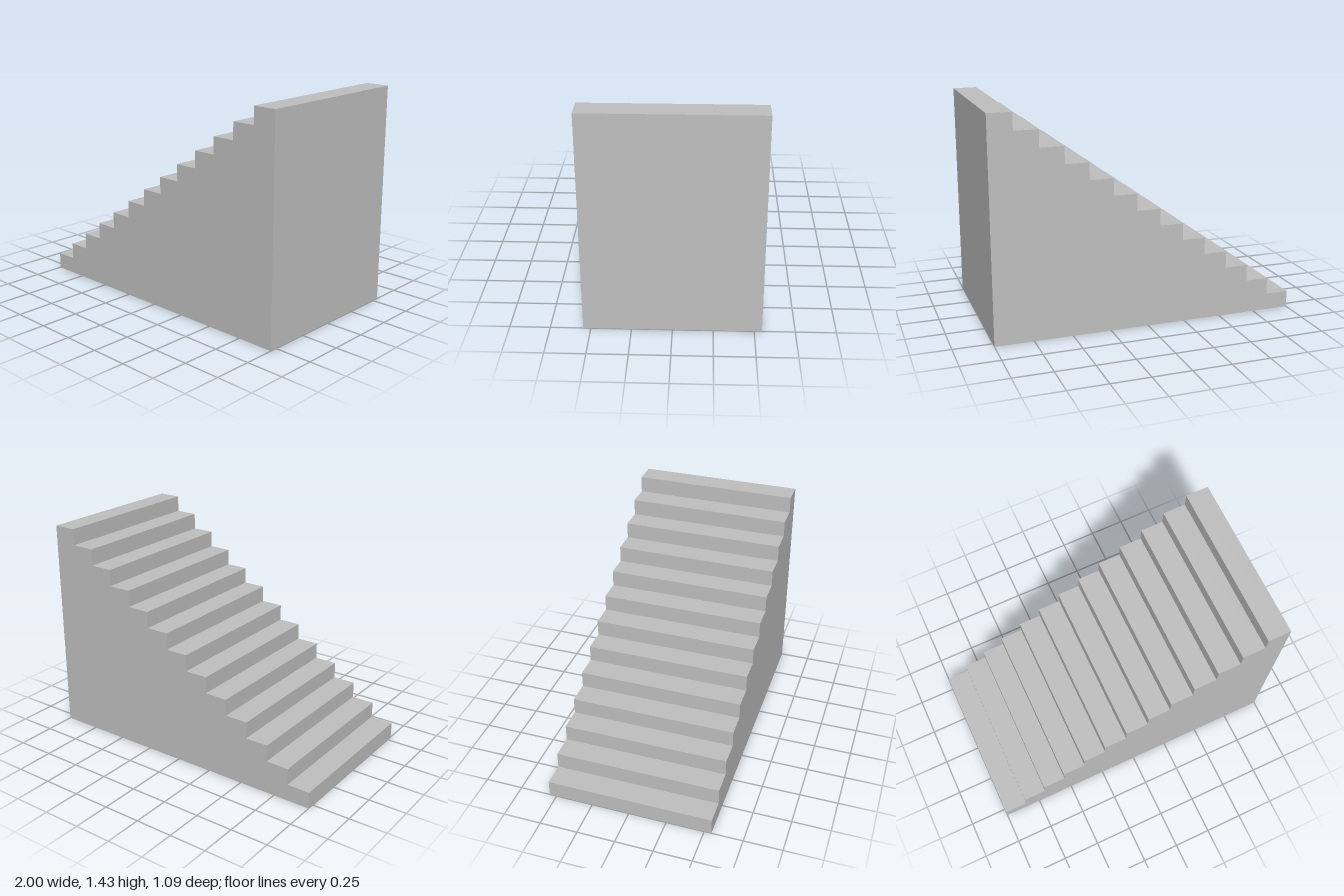
import * as THREE from 'three';

const STEPS = 13, LENGTH = 2, HEIGHT = 1.43, WIDTH = 1.094;

export function createModel() {
  const group = new THREE.Group();
  group.name = 'staircase';

  const lightGrey = new THREE.MeshStandardMaterial({ color: 0xc0c0c0 });
  lightGrey.name = 'light grey';

  // Stepped side profile, rising towards +x
  const run = LENGTH / STEPS, rise = HEIGHT / STEPS;
  const profile = new THREE.Shape();
  profile.moveTo(-LENGTH / 2, 0);
  profile.lineTo(LENGTH / 2, 0);
  profile.lineTo(LENGTH / 2, HEIGHT);
  for (let i = STEPS - 1; i >= 0; i--) {
    const x = -LENGTH / 2 + i * run;
    profile.lineTo(x, (i + 1) * rise);
    if (i > 0) profile.lineTo(x, i * rise);
  }
  profile.closePath();

  // Solid flight of steps across the full width
  const geometry = new THREE.ExtrudeGeometry(profile, { depth: WIDTH, bevelEnabled: false });
  geometry.translate(0, 0, -WIDTH / 2);
  const flight = new THREE.Mesh(geometry, lightGrey);
  flight.name = 'flightOfSteps';
  group.add(flight);

  return group;
}
